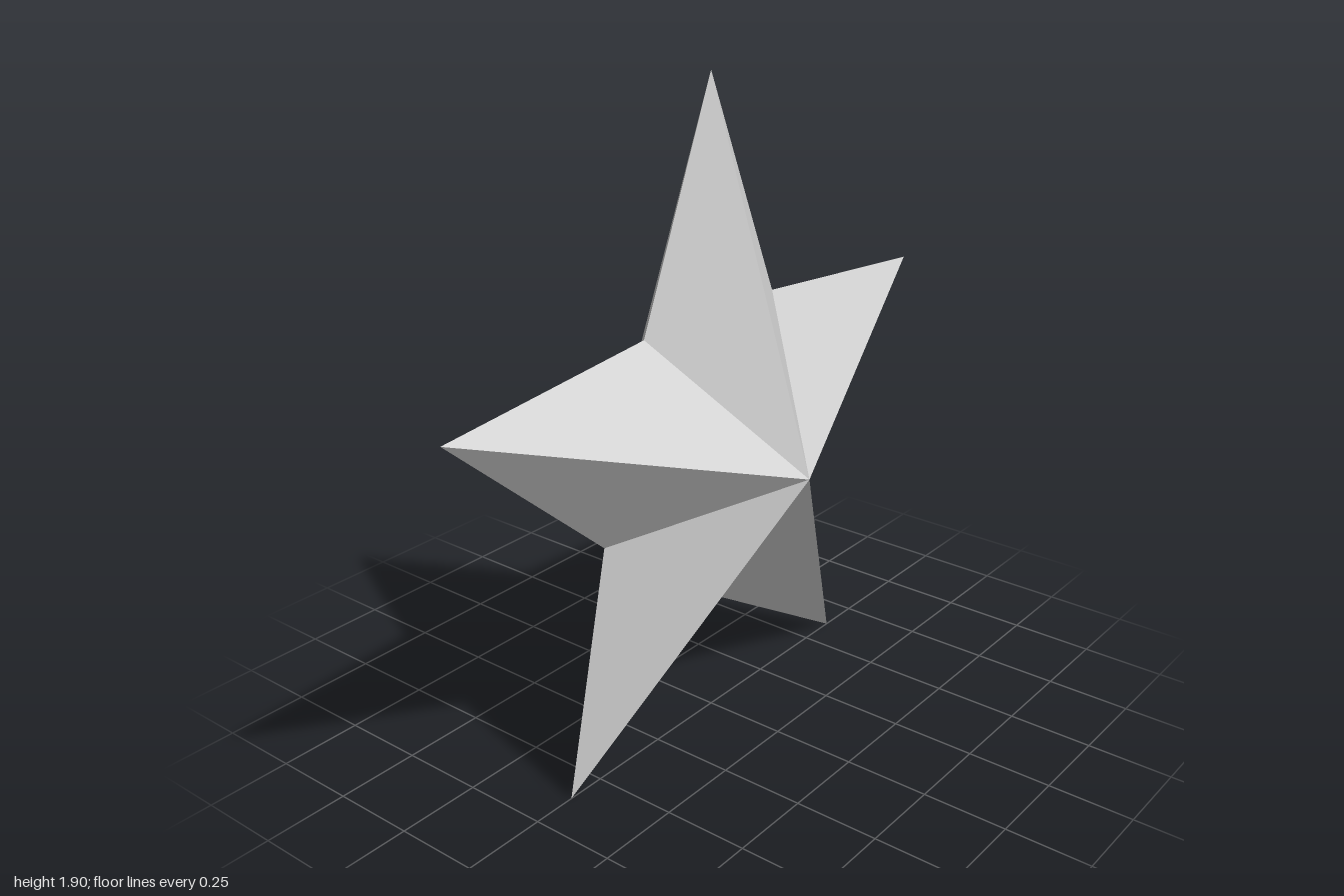
import * as THREE from 'three';

const POINTS = 5;
const OUTER = 1 / Math.sin(Math.PI * 2 / POINTS); // widest tips reach x = +-1
const INNER = 0.48;
const CENTRE_Y = OUTER * Math.cos(Math.PI / POINTS); // lower tips rest on y = 0
const APEX_Y = 0.836;
const APEX_Z = 0.34;

// Corner i of the outline, counter-clockwise from the top tip
function corner(i) {
  const a = (i * Math.PI) / POINTS;
  const r = i % 2 ? INNER : OUTER;
  return [-r * Math.sin(a), CENTRE_Y + r * Math.cos(a), 0];
}

// Fan of facets from the outline to an apex; side is +1 front, -1 back
function starHalf(name, side, material) {
  const positions = [];
  for (let i = 0; i < POINTS * 2; i++) {
    const edge = [corner(i), corner(i + 1)];
    if (side < 0) edge.reverse();
    positions.push(0, APEX_Y, side * APEX_Z, ...edge[0], ...edge[1]);
  }
  const geometry = new THREE.BufferGeometry();
  geometry.setAttribute('position', new THREE.Float32BufferAttribute(positions, 3));
  geometry.computeVertexNormals();
  const mesh = new THREE.Mesh(geometry, material);
  mesh.name = name;
  return mesh;
}

export function createModel() {
  const group = new THREE.Group();
  group.name = 'star';
  const material = new THREE.MeshStandardMaterial({ color: 0xcccccc, flatShading: true });
  group.add(starHalf('starFront', 1, material), starHalf('starBack', -1, material));
  return group;
}
